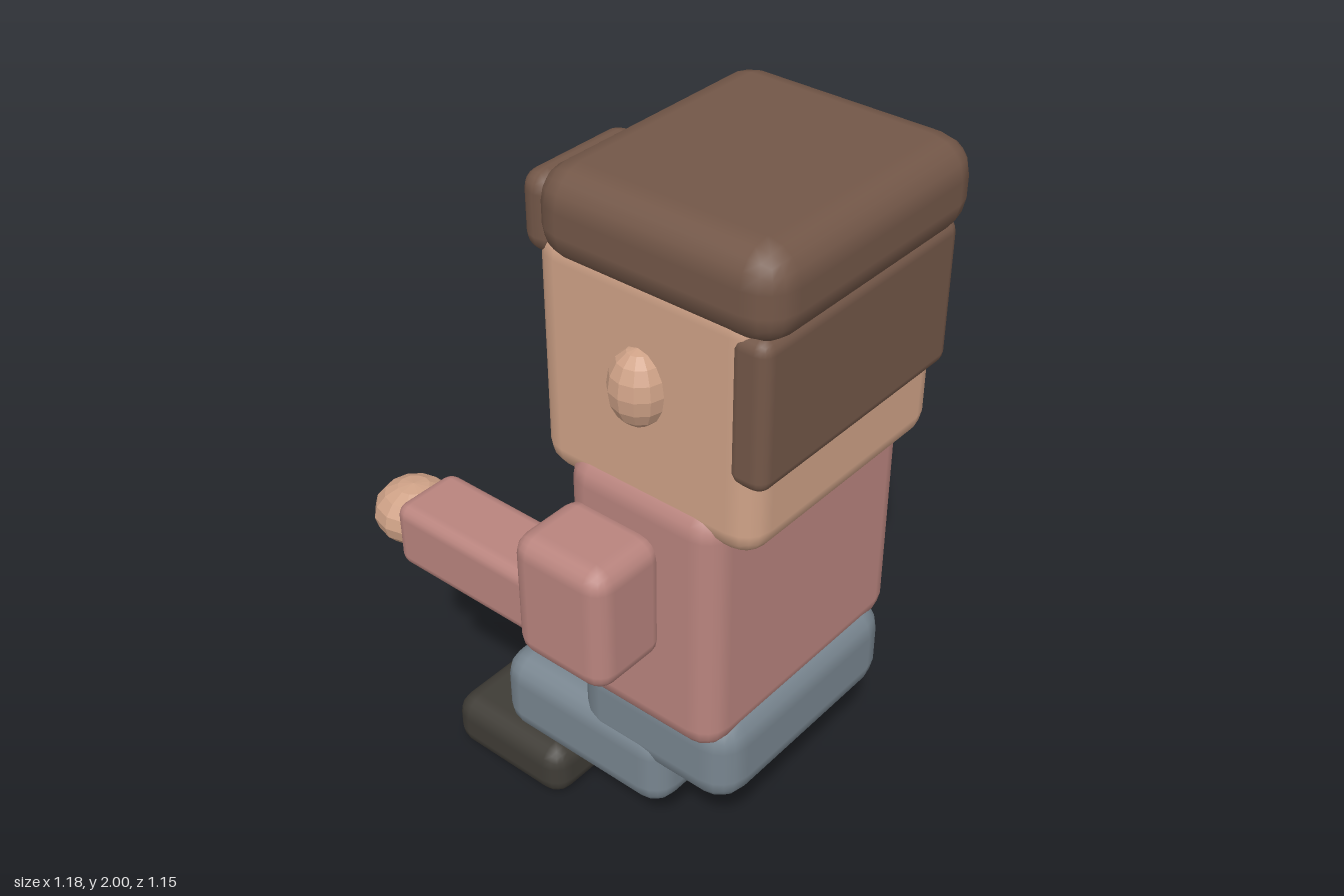
import * as THREE from 'three';
import { RoundedBoxGeometry } from 'three/addons/geometries/RoundedBoxGeometry.js';

const colour = (name, hex) => {
  const m = new THREE.MeshStandardMaterial({ color: hex });
  m.name = name;
  return m;
};

export function createModel() {
  const skin = colour('skin', 0xcfa287);
  const hair = colour('brown hair', 0x735748);
  const shirt = colour('dusty pink shirt', 0xb9847e);
  const trousers = colour('blue grey trousers', 0x78858f);
  const shoe = colour('dark shoe', 0x3f3c36);
  const dark = colour('facial dark', 0x2f302e);

  const model = new THREE.Group();
  model.name = 'blockFigure';

  const add = (name, geometry, material, x, y, z) => {
    const mesh = new THREE.Mesh(geometry, material);
    mesh.name = name;
    mesh.position.set(x, y, z);
    model.add(mesh);
    return mesh;
  };

  // Soft-edged block given by its extents on each axis
  const block = (name, material, [x0, x1], [y0, y1], [z0, z1], radius) =>
    add(name, new RoundedBoxGeometry(x1 - x0, y1 - y0, z1 - z0, 2, radius),
      material, (x0 + x1) / 2, (y0 + y1) / 2, (z0 + z1) / 2);

  // Faceted ellipsoid
  const ball = (name, material, [x, y, z], [rx, ry, rz]) => {
    const g = new THREE.SphereGeometry(1, 12, 8).scale(rx, ry, rz).toNonIndexed();
    g.computeVertexNormals();
    return add(name, g, material, x, y, z);
  };

  // Body
  block('torso', shirt, [-0.388, 0.386], [0.545, 1.285], [-0.03, 0.435], 0.075);
  block('hips', trousers, [-0.353, 0.35], [0.335, 0.618], [-0.053, 0.46], 0.09);

  // Head, nose and mouth
  block('head', skin, [-0.365, 0.362], [1.19, 1.85], [-0.12, 0.523], 0.075);
  ball('nose', skin, [0, 1.495, -0.15], [0.075, 0.064, 0.045]);
  add('mouth', new THREE.BoxGeometry(0.14, 0.02, 0.03), dark, 0, 1.367, -0.122);

  // Hair: cap, back panel, a lock on one side and an uneven fringe
  block('hairCap', hair, [-0.385, 0.383], [1.765, 2], [-0.105, 0.577], 0.09);
  block('backHair', hair, [-0.365, 0.362], [1.4, 1.79], [0.44, 0.547], 0.035);
  block('sideHair', hair, [0.3, 0.387], [1.41, 1.785], [0.172, 0.472], 0.035);
  block('leftFringe', hair, [-0.003, 0.35], [1.71, 1.91], [-0.168, -0.07], 0.047);
  block('rightFringe', hair, [-0.362, -0.03], [1.765, 1.965], [-0.15, -0.05], 0.047);

  // Paired parts: the model's left is +x
  for (const [side, s] of [['left', 1], ['right', -1]]) {
    const span = (a, b) => (s > 0 ? [a, b] : [-b, -a]);
    ball(side + 'Ear', skin, [s * 0.362, 1.55, 0.2], [0.073, 0.1, 0.075]);
    ball(side + 'Eye', dark, [s * 0.148, 1.592, -0.122], [0.043, 0.053, 0.027]);
    add(side + 'Eyebrow', new THREE.BoxGeometry(0.13, 0.022, 0.03), hair, s * 0.148, 1.71, -0.122);

    block(side + 'Shoulder', shirt, span(0.352, 0.592), [0.805, 1.163], [-0.015, 0.272], 0.055);
    block(side + 'Forearm', shirt, span(0.368, 0.57), [0.845, 1.03], [-0.437, 0.06], 0.035);
    ball(side + 'Hand', skin, [s * 0.468, 0.938, -0.47], [0.107, 0.083, 0.108]);

    block(side + 'Leg', trousers, span(0.068, 0.363), [0.2, 0.455], [-0.325, 0.248], 0.075);
    block(side + 'Shoe', shoe, span(0.066, 0.362), [0, 0.17], [-0.53, -0.12], 0.06);
  }

  return model;
}
